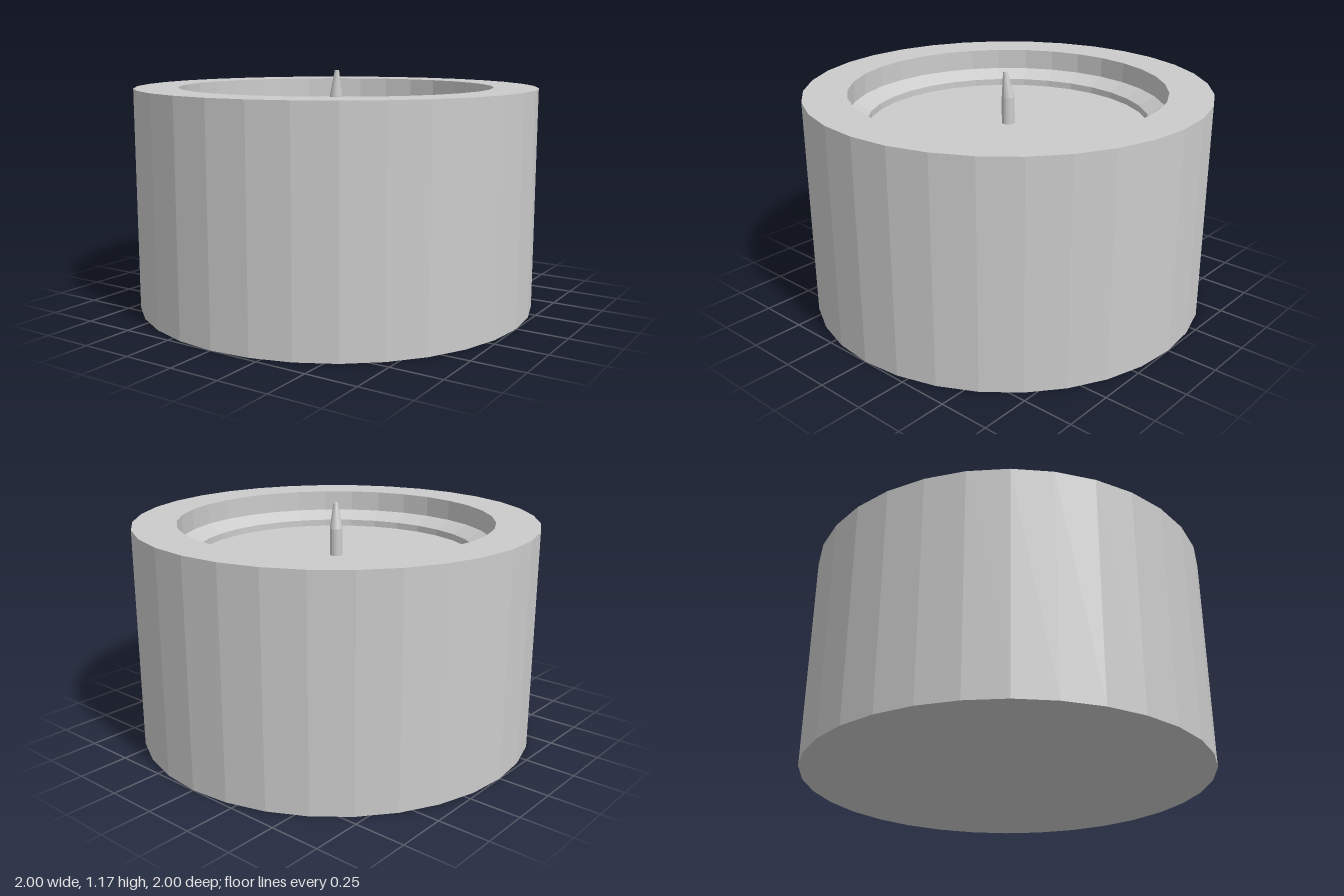
import * as THREE from 'three';

const material = new THREE.MeshStandardMaterial({ color: 0xcccccc, flatShading: true });

function latheMesh(name, profile, segments) {
  const points = profile.map(([r, y]) => new THREE.Vector2(r, y));
  const mesh = new THREE.Mesh(new THREE.LatheGeometry(points, segments), material);
  mesh.name = name;
  return mesh;
}

export function createModel() {
  const group = new THREE.Group();
  group.name = 'candle';

  // Thick cup: outer wall, rim, stepped recess with sloped ledge, and floor
  const floorY = 0.912;
  group.add(latheMesh('candleBody', [
    [0, 0], [1, 0], [1, 1.095],
    [0.785, 1.095], [0.785, 0.989],
    [0.7, 0.946], [0.7, floorY], [0, floorY],
  ], 32));

  // Wick: straight stem with a tapered tip leaning slightly to one corner
  const bendY = 1.047, tipY = 1.175;
  const wick = latheMesh('wick', [
    [0.032, floorY], [0.032, bendY], [0.011, tipY], [0, tipY],
  ], 16);
  const pos = wick.geometry.attributes.position;
  for (let i = 0; i < pos.count; i++) {
    const t = Math.max(0, (pos.getY(i) - bendY) / (tipY - bendY));
    pos.setX(i, pos.getX(i) + 0.011 * t);
    pos.setZ(i, pos.getZ(i) + 0.009 * t);
  }
  wick.geometry.computeVertexNormals();
  group.add(wick);

  return group;
}
